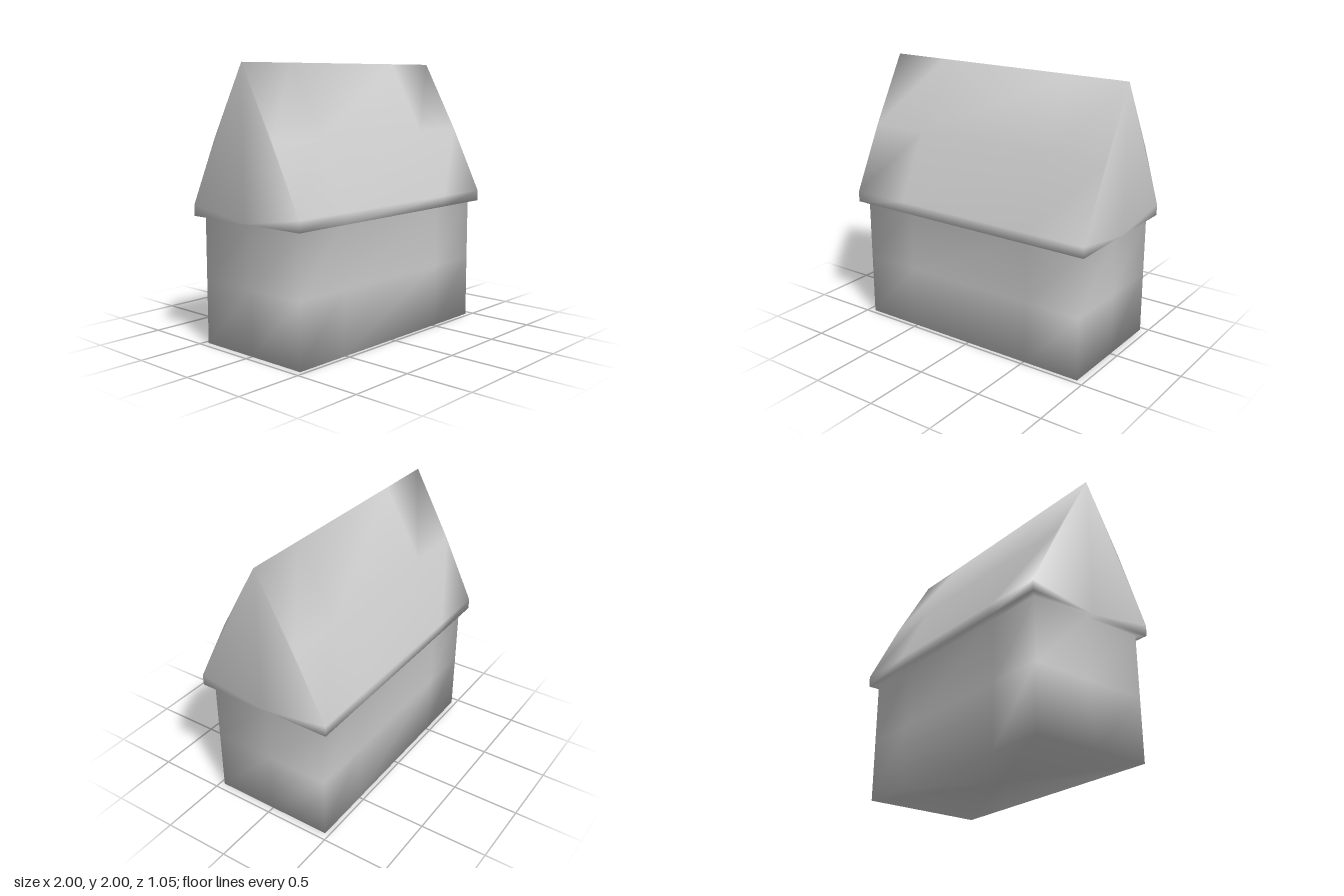
import * as THREE from 'three';

// Plan outline, counter-clockwise from the front left corner, in unit half-sizes
const plan = [[-1, 1], [-0.55, 1], [0.55, 1], [1, 1], [1, 0],
  [1, -1], [0.55, -1], [-0.55, -1], [-1, -1], [-1, 0]];
const N = plan.length;

// Levels from the ground up: height, half width, half depth
const levels = [
  [0, 0.945, 0.467],    // foot of the walls
  [0.467, 0.945, 0.467], // middle of the walls
  [0.93, 0.945, 0.467], // top of the walls
  [0.93, 1, 0.523],     // outer edge of the eaves
  [1.01, 1, 0.523],     // top of the eaves lip
  [1.49, 1, 0.285],     // slightly bulging slope
  [2, 1, 0],            // ridge
];
const EAVES = 3, LIP = 4, SLOPE = 5, RIDGE = 6;

export function createModel() {
  const positions = [], index = [];
  for (const [y, w, d] of levels)
    for (const [x, z] of plan) positions.push(x * w, y, z * d);
  positions.push(0, 0, 0);
  const floorCentre = levels.length * N;

  // The two ridge sides share their vertices so shading runs smoothly over it
  const at = (level, i) => {
    i %= N;
    if (level === RIDGE) {
      if (i === 4) i = 3;
      else if (i === 9) i = 0;
      else if (i > 4) i = 8 - i;
    }
    return level * N + i;
  };
  const tri = (a, b, c) => {
    if (a !== b && b !== c && a !== c) index.push(a, b, c);
  };

  // Walls, eaves and roof slopes
  for (let l = 0; l < RIDGE; l++) {
    for (let i = 0; i < N; i++) {
      const onEnd = i === 3 || i === 4 || i === 8 || i === 9;
      if (l >= EAVES && onEnd) continue;
      const a = at(l, i), b = at(l, i + 1), c = at(l + 1, i + 1), d = at(l + 1, i);
      tri(a, b, c);
      tri(a, c, d);
    }
  }

  // Gable ends, fanned from the middle of the eaves
  for (const m of [4, 9]) {
    const centre = at(EAVES, m), apex = at(RIDGE, m);
    const p = m - 1, q = m + 1;
    tri(centre, at(LIP, p), at(EAVES, p));
    tri(centre, apex, at(LIP, p));
    tri(at(LIP, p), apex, at(SLOPE, p));
    tri(centre, at(EAVES, q), at(LIP, q));
    tri(centre, at(LIP, q), apex);
    tri(at(LIP, q), at(SLOPE, q), apex);
  }

  // Underside
  for (let i = 0; i < N; i++) tri(floorCentre, at(0, i + 1), at(0, i));

  const geometry = new THREE.BufferGeometry();
  geometry.setAttribute('position', new THREE.Float32BufferAttribute(positions, 3));
  geometry.setIndex(index);
  geometry.computeVertexNormals();

  const house = new THREE.Mesh(geometry, new THREE.MeshStandardMaterial({
    color: 0xcccccc, side: THREE.DoubleSide,
  }));
  house.name = 'houseShell';
  const group = new THREE.Group();
  group.name = 'house';
  group.add(house);
  return group;
}
